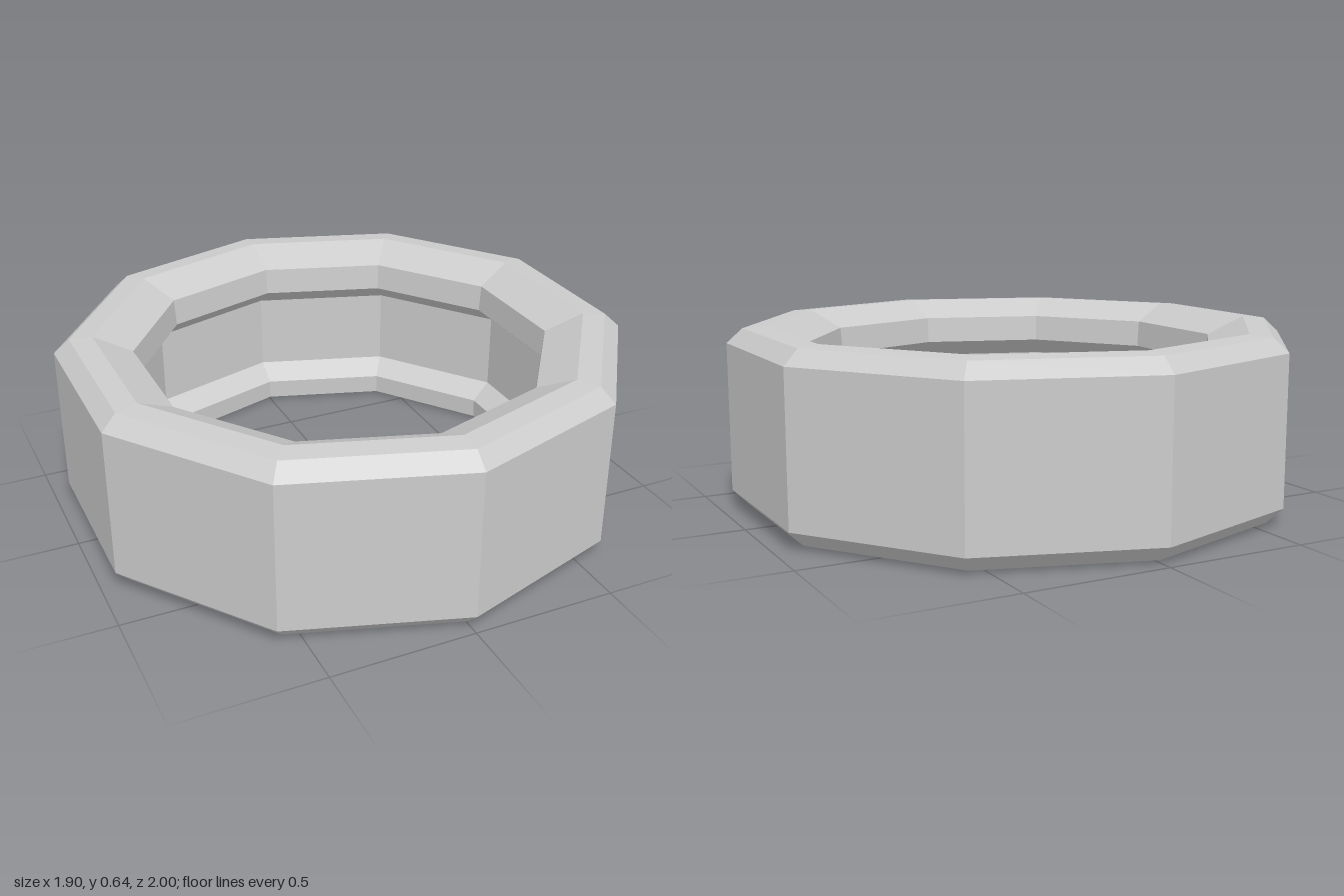
import * as THREE from 'three';

// Ten-sided hollow ring swept from one closed cross-section
export function createModel() {
  const group = new THREE.Group();
  group.name = 'tyre';

  // [radius, height], up the outside and down the inside
  const section = [
    [0.865, 0], [0.945, 0.008],   // underside
    [1, 0.062], [1, 0.582],       // chamfer and tread
    [0.945, 0.632], [0.865, 0.638], // chamfer and upper side
    [0.73, 0.575], [0.722, 0.478], // upper bead
    [0.8, 0.415], [0.8, 0.135],   // inner channel
    [0.722, 0.08], [0.725, 0.008], // lower bead
    [0.865, 0],
  ].map(([r, y]) => new THREE.Vector2(r, y));

  const ring = new THREE.Mesh(
    new THREE.LatheGeometry(section, 10),
    new THREE.MeshStandardMaterial({ color: 0xcccccc, flatShading: true }),
  );
  ring.name = 'tyreRing';
  group.add(ring);
  return group;
}
